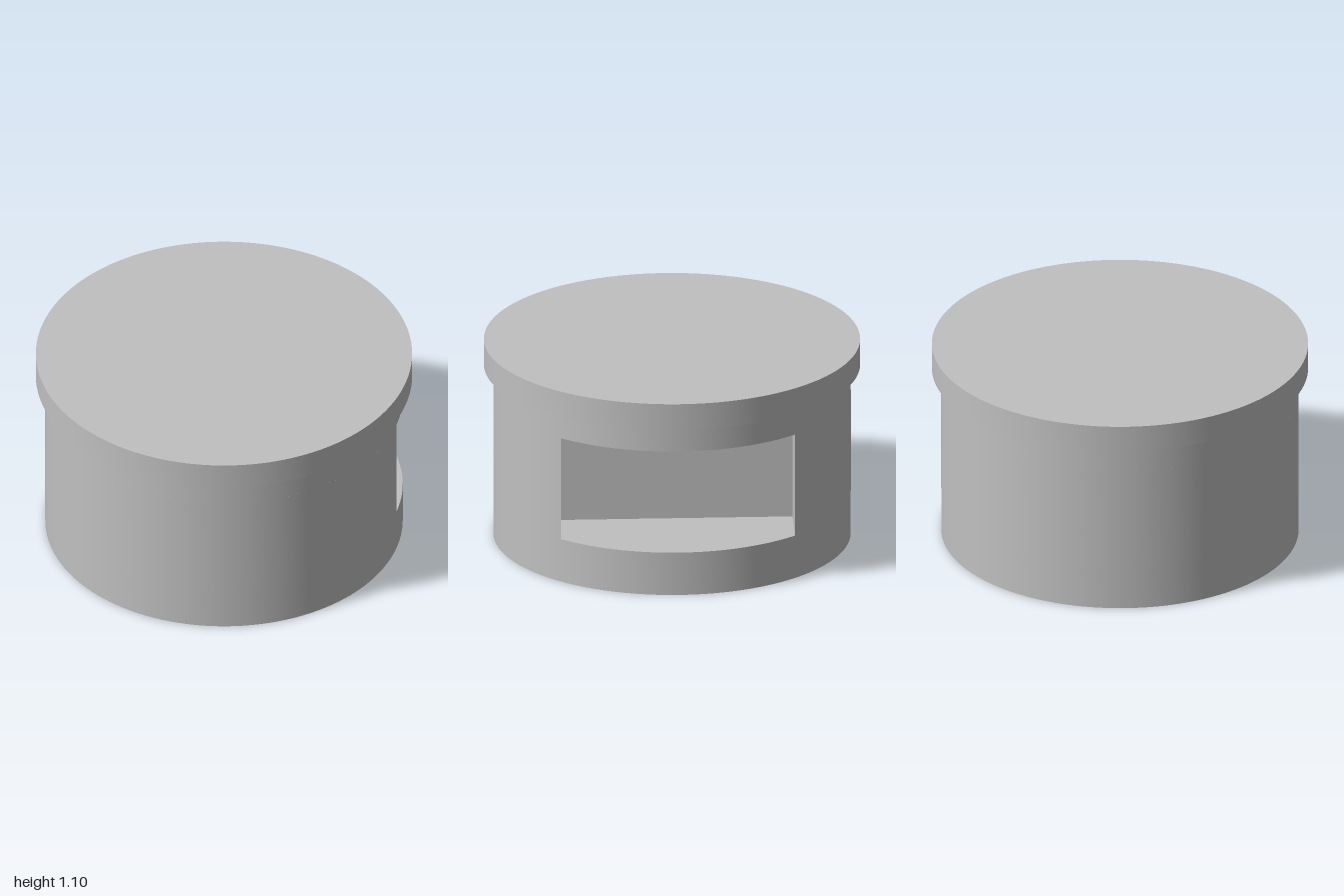
import * as THREE from 'three';
import { toCreasedNormals } from 'three/addons/utils/BufferGeometryUtils.js';

const R = 0.95, LID_R = 1, H = 1.1, LID_Y = 0.955;
const POCKET = { x: 0.425, z: 0.622, y0: 0.24, y1: 0.813 };

export function createModel() {
  const group = new THREE.Group();
  const grey = new THREE.MeshStandardMaterial({ color: 0xc0c0c0 });
  grey.name = 'plain grey';

  // Extrudes a plan outline between two heights, smooth on curves, sharp on edges
  function slab(name, shape, y0, y1) {
    const extruded = new THREE.ExtrudeGeometry(shape, {
      depth: y1 - y0, bevelEnabled: false, curveSegments: 96,
    });
    extruded.rotateX(-Math.PI / 2).translate(0, y0, 0);
    const mesh = new THREE.Mesh(toCreasedNormals(extruded, 0.5), grey);
    mesh.name = name;
    group.add(mesh);
  }

  const disc = (r) => new THREE.Shape().absarc(0, 0, r, 0, Math.PI * 2);

  // Disc with a rectangular pocket cut in from the +x side
  const a = Math.asin(POCKET.z / R);
  const cutDisc = new THREE.Shape();
  cutDisc.absarc(0, 0, R, a, Math.PI * 2 - a);
  cutDisc.lineTo(POCKET.x, -POCKET.z);
  cutDisc.lineTo(POCKET.x, POCKET.z);
  cutDisc.closePath();

  slab('lowerBody', disc(R), 0, POCKET.y0);
  slab('pocketBody', cutDisc, POCKET.y0, POCKET.y1);
  slab('upperBody', disc(R), POCKET.y1, LID_Y);
  slab('lid', disc(LID_R), LID_Y, H);

  return group;
}
